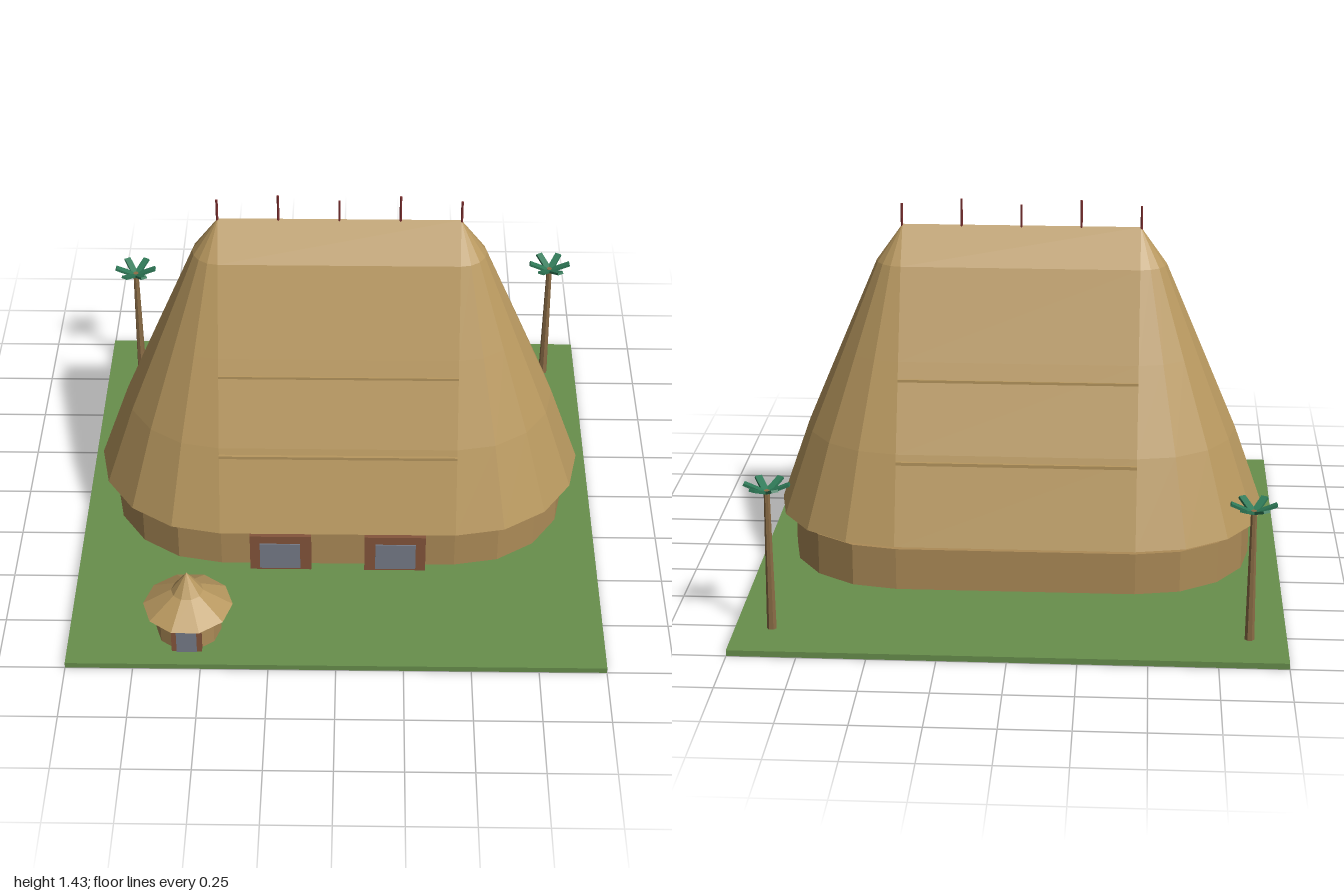
import * as THREE from 'three';

const material = (name, color) => {
  const m = new THREE.MeshStandardMaterial({ color, flatShading: true });
  m.name = name;
  return m;
};

// Closed solid from stadium-shaped rings [radius, y]; half = half the straight length
function stadiumLoft(rings, half, segs = 8) {
  const loops = rings.map(([r, y]) => {
    const pts = [];
    for (const side of [1, -1]) {
      for (let i = 0; i <= segs; i++) {
        const a = -Math.PI / 2 + (i / segs) * Math.PI;
        pts.push([side * (half + r * Math.cos(a)), y, side * r * Math.sin(a)]);
      }
    }
    return pts;
  });
  const pos = [];
  const tri = (...corners) => corners.forEach((c) => pos.push(...c));
  const n = loops[0].length;
  const last = loops.length - 1;
  for (let i = 0; i < n; i++) {
    const j = (i + 1) % n;
    for (let k = 0; k < last; k++) {
      const lo = loops[k], hi = loops[k + 1];
      tri(lo[i], hi[i], lo[j]);
      if (rings[k + 1][0] > 0 || j % (segs + 1) === 0) tri(hi[i], hi[j], lo[j]);
    }
    tri([0, rings[0][1], 0], loops[0][i], loops[0][j]);
    if (rings[last][0] > 0) tri([0, rings[last][1], 0], loops[last][j], loops[last][i]);
  }
  const g = new THREE.BufferGeometry();
  g.setAttribute('position', new THREE.Float32BufferAttribute(pos, 3));
  g.computeVertexNormals();
  return g;
}

export function createModel() {
  const model = new THREE.Group();
  model.name = 'thatchedHouse';

  const grass = material('grass', 0x688f4c);
  const thatch = material('thatch', 0xb8985f);
  const clay = material('clayWall', 0xac8b57);
  const timber = material('timber', 0x84553b);
  const glass = material('glass', 0x767b88);
  const trunkWood = material('trunkWood', 0x8a6c46);
  const leafGreen = material('leafGreen', 0x2f7a58);
  const poleRed = material('poleRed', 0x7a2e2e);

  const add = (parent, name, geometry, mat, x = 0, y = 0, z = 0) => {
    const mesh = new THREE.Mesh(geometry, mat);
    mesh.name = name;
    mesh.position.set(x, y, z);
    parent.add(mesh);
    return mesh;
  };
  const box = (w, h, d) => new THREE.BoxGeometry(w, h, d);
  const group = (name, x, y, z) => {
    const g = new THREE.Group();
    g.name = name;
    g.position.set(x, y, z);
    model.add(g);
    return g;
  };

  const floor = 0.022;
  add(model, 'ground', box(2, floor, 2), grass, 0, floor / 2, 0);

  // Main house: low wall and tall roof with a narrow gap between them
  add(model, 'wall', stadiumLoft([[0.44, floor], [0.44, 0.185]], 0.45), clay);
  add(model, 'roof', stadiumLoft(
    [[0.49, 0.215], [0.375, 0.54], [0.24, 0.86], [0.1, 1.19], [0, 1.33]], 0.45), thatch);

  // Thin battens across the roof slopes
  for (const side of [1, -1]) {
    add(model, 'lowerBatten', box(0.9, 0.012, 0.02), thatch, 0, 0.51, side * 0.385);
    add(model, 'upperBatten', box(0.9, 0.01, 0.02), thatch, 0, 0.795, side * 0.262);
  }

  // Ridge poles, alternating in height
  for (let i = -2; i <= 2; i++) {
    const h = i % 2 ? 0.12 : 0.1;
    add(model, 'ridgePole', new THREE.CylinderGeometry(0.005, 0.005, h, 6), poleRed,
      i * 0.226, 1.31 + h / 2, 0);
  }

  // Framed windows on the front wall
  for (const side of [1, -1]) {
    add(model, 'windowFrame', box(0.235, 0.165, 0.045), timber, side * 0.22, 0.1045, 0.4525);
    add(model, 'windowPane', box(0.155, 0.12, 0.006), glass, side * 0.222, 0.092, 0.477);
  }

  // Small round hut
  const hut = group('hut', -0.553, 0, 0.805);
  const hutWall = add(hut, 'hutWall',
    new THREE.CylinderGeometry(0.122, 0.122, 0.126, 10), clay, 0, floor + 0.063, 0);
  const hutEave = add(hut, 'hutEave',
    new THREE.CylinderGeometry(0.06, 0.167, 0.07, 10), thatch, 0, 0.18, 0);
  const hutPeak = add(hut, 'hutPeak',
    new THREE.ConeGeometry(0.06, 0.085, 10), thatch, 0, 0.2575, 0);
  for (const part of [hutWall, hutEave, hutPeak]) part.rotation.y = Math.PI / 2;
  add(hut, 'hutDoorFrame', box(0.112, 0.124, 0.03), timber, 0, 0.084, 0.112);
  add(hut, 'hutDoor', box(0.075, 0.103, 0.006), glass, 0, 0.0735, 0.128);

  // Palms at the back corners
  for (const [side, top] of [[-1, 0.52], [1, 0.56]]) {
    const palm = group('palm', side * 0.865, 0, -0.805);
    const h = top - floor;
    add(palm, 'trunk', new THREE.CylinderGeometry(0.011, 0.018, h, 7), trunkWood,
      0, floor + h / 2, 0);
    for (let i = 0; i < 6; i++) {
      const frond = new THREE.Group();
      frond.name = 'frond';
      frond.position.y = top - 0.008;
      frond.rotation.y = (i * Math.PI) / 3;
      palm.add(frond);
      add(frond, 'leaf', box(0.08, 0.01, 0.026), leafGreen, 0.045, 0.017, 0).rotation.z = 0.4;
    }
  }

  return model;
}
